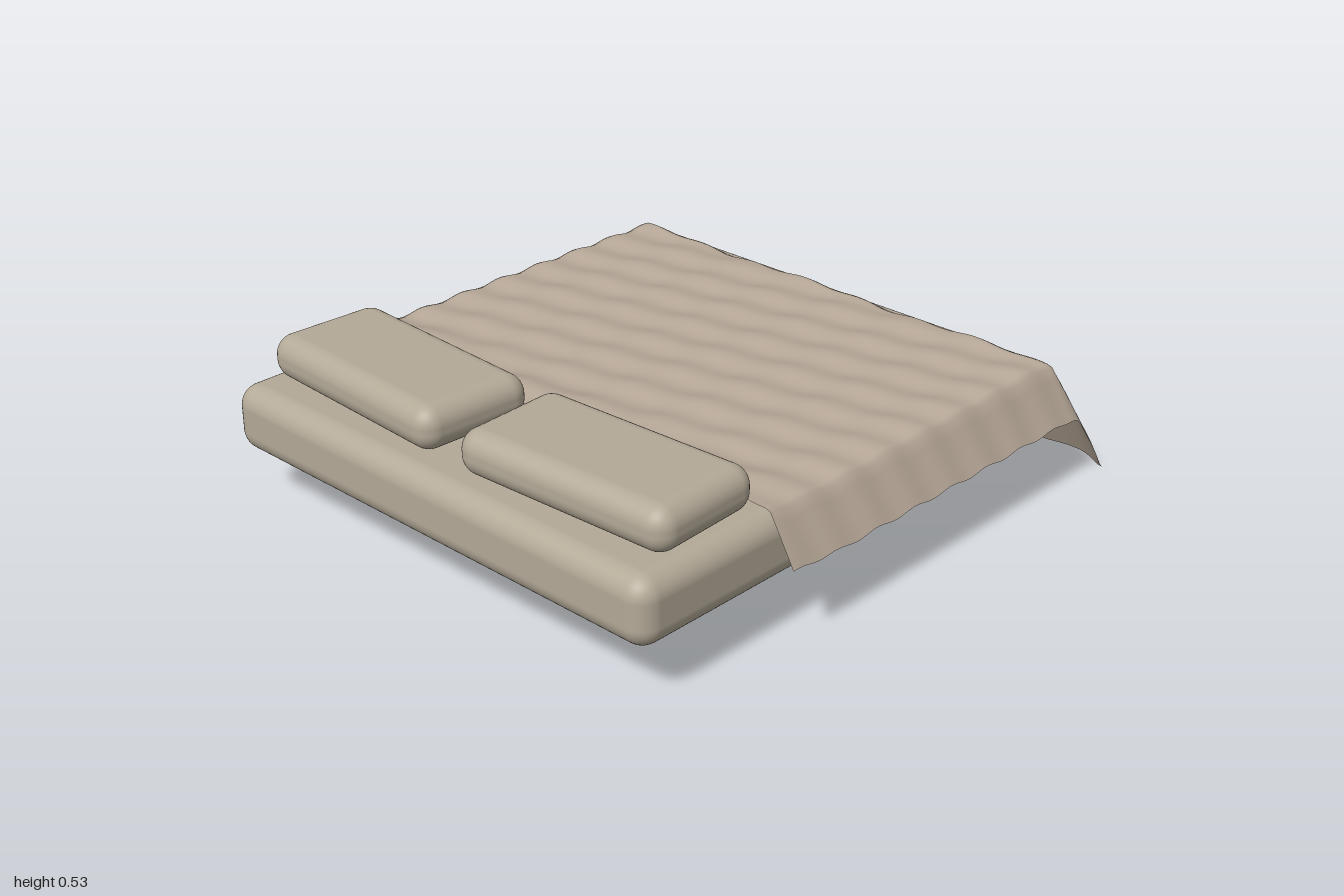
import * as THREE from 'three';
import { RoundedBoxGeometry } from 'three/addons/geometries/RoundedBoxGeometry.js';

const linen = new THREE.MeshStandardMaterial({ color: 0xb3a997 });
linen.name = 'linen';
const blanketCloth = new THREE.MeshStandardMaterial({ color: 0xb7a898, side: THREE.DoubleSide });
blanketCloth.name = 'blanketCloth';

function cushion(name, w, h, d, r, x, y, z) {
  const mesh = new THREE.Mesh(new RoundedBoxGeometry(w, h, d, 5, r), linen);
  mesh.name = name;
  mesh.position.set(x, y, z);
  return mesh;
}

// Blanket: a rippled sheet that falls away past the mattress edges
function blanket() {
  const back = -1, front = 0.51, halfWidth = 0.947;
  const geo = new THREE.PlaneGeometry(halfWidth * 2, front - back, 110, 110);
  geo.rotateX(-Math.PI / 2);
  geo.translate(0, 0, (front + back) / 2);
  const p = geo.attributes.position;
  for (let i = 0; i < p.count; i++) {
    const x = p.getX(i), z = p.getZ(i);
    const overSide = Math.max(0, Math.abs(x) - 0.857);
    const overBack = Math.max(0, -0.79 - z);
    const drop = 1.78 * Math.hypot(overSide, overBack);
    const topFade = 1 - THREE.MathUtils.smoothstep(overBack, 0, 0.1);
    const diagonal = 0.005 * Math.sin(37 * z + 9 * x) * topFade;
    const folds = 0.004 * Math.sin(27 * x + 2 * z);
    const lip = 0.01 * THREE.MathUtils.smoothstep(z, 0.3, 0.46);
    p.setY(i, Math.max(0, 0.402 - drop + diagonal + folds + lip));
  }
  geo.computeVertexNormals();
  const mesh = new THREE.Mesh(geo, blanketCloth);
  mesh.name = 'blanket';
  return mesh;
}

export function createModel() {
  const bed = new THREE.Group();
  bed.name = 'bedding';

  bed.add(cushion('mattress', 1.73, 0.215, 1.865, 0.068, 0, 0.2775, 0.0675));
  bed.add(blanket());

  // Pair of pillows, turned slightly away from each other
  for (const side of [-1, 1]) {
    const pillow = cushion(side > 0 ? 'leftPillow' : 'rightPillow',
      0.765, 0.142, 0.395, 0.063, side * 0.43, 0.455, 0.705);
    pillow.rotation.y = side * 0.05;
    bed.add(pillow);
  }
  return bed;
}
